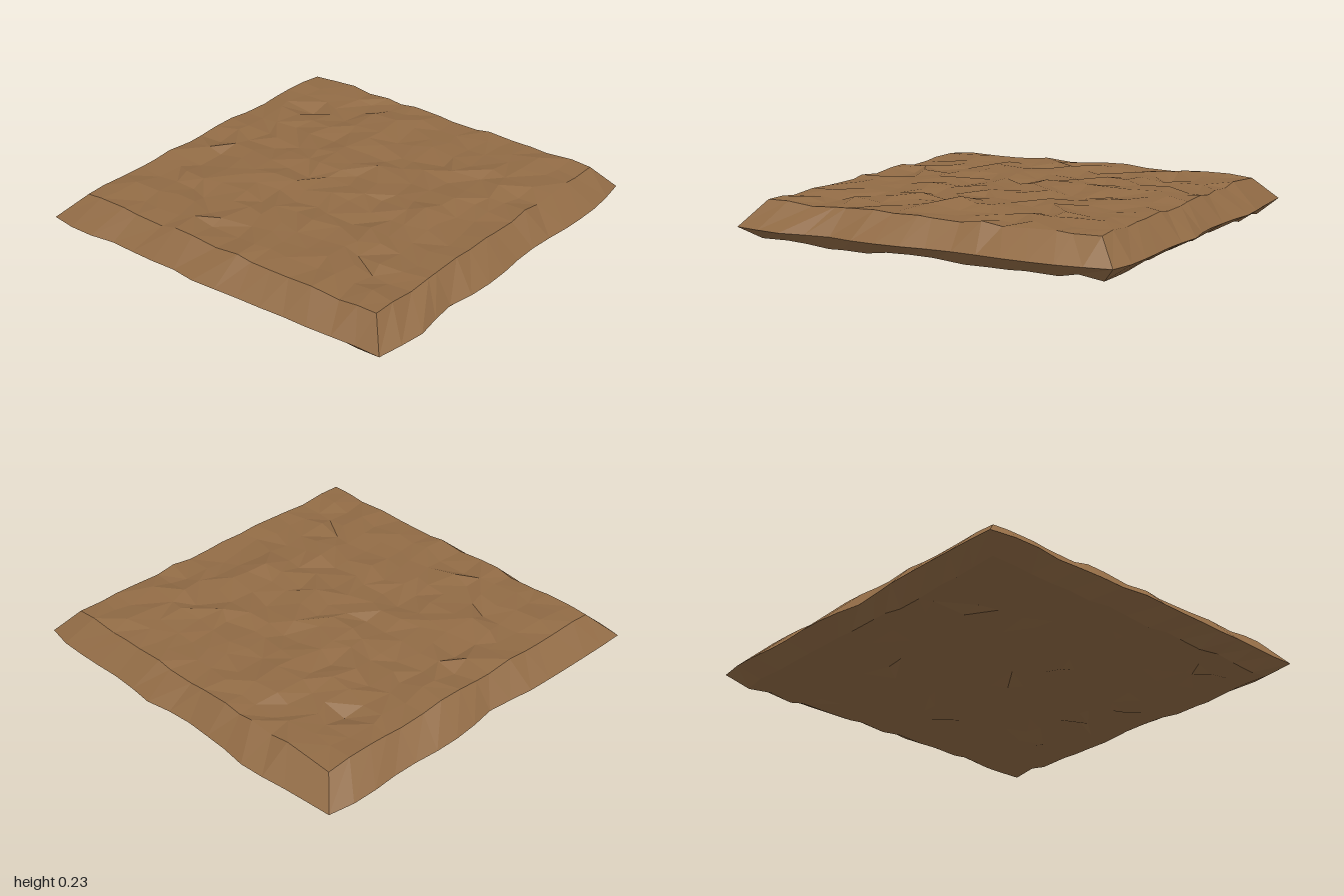
import * as THREE from 'three';

const N = 15; // cells along each side

// Ragged outline: [position along the side, distance out]
const EDGES = {
  back: [[-.96, -.95], [-.72, -.965], [-.49, -.99], [-.37, -.98], [-.27, -.955], [-.15, -.967], [-.03, -.95],
    [.25, -1], [.36, -.95], [.47, -.977], [.62, -.97], [.77, -.98], [.94, -.945]],
  front: [[-.97, .96], [-.78, .99], [-.53, .955], [-.38, .985], [-.27, .955], [-.15, .98], [-.03, .99],
    [.13, .97], [.24, .98], [.35, .965], [.62, .965], [.77, .95], [.94, .955]],
  left: [[-.95, -.96], [-.82, -.98], [-.7, -.98], [-.5, -.965], [-.35, -.98], [-.13, -.98], [.1, -.94],
    [.27, -.97], [.5, -.975], [.8, -.975], [.96, -.97]],
  right: [[-.945, .94], [-.8, .965], [-.65, .98], [-.38, .97], [-.25, .95], [-.05, .955], [.1, .97],
    [.28, .97], [.5, .93], [.66, .98], [.8, .965], [.955, .94]],
};

// Pits and lumps on the upper face: x, z, height
const LUMPS = [[-.62, -.53, -.035], [.55, -.25, .02], [.51, .03, .035], [-.31, .25, .02], [-.13, -.1, .015], [.12, .5, .015]];

function seeded(seed) {
  return () => {
    seed = (seed * 16807) % 2147483647;
    return seed / 2147483647;
  };
}

// Distance out at a fraction t along an outline
function along(points, t) {
  const s = THREE.MathUtils.lerp(points[0][0], points[points.length - 1][0], t);
  let k = 0;
  while (k < points.length - 2 && s > points[k + 1][0]) k++;
  const [a, b] = [points[k], points[k + 1]];
  return [s, THREE.MathUtils.mapLinear(s, a[0], b[0], a[1], b[1])];
}

// Rough square sheet of points, straight along its border
function sheet(half, y, amp, seed, lumps) {
  const rand = seeded(seed);
  const spread = (size) => (rand() - 0.5) * 2 * size;
  return Array.from({ length: N + 1 }, (_, i) => Array.from({ length: N + 1 }, (_, j) => {
    const x = (i / N * 2 - 1) * half - 0.005, z = (j / N * 2 - 1) * half;
    const insideX = i > 0 && i < N, insideZ = j > 0 && j < N;
    let h = y + spread(insideX && insideZ ? amp : amp * 0.7);
    for (const [lx, lz, lh] of lumps) {
      h += lh * Math.max(0, 1 - Math.hypot(x - lx, z - lz) / 0.13);
    }
    return new THREE.Vector3(x + (insideX ? spread(0.03) : 0), h, z + (insideZ ? spread(0.03) : 0));
  }));
}

// Points of a sheet in order round its border, starting at the front left corner seen from the front
function border(at) {
  const ring = [];
  for (let k = 0; k < N; k++) ring.push(at(k, N, 'front', k / N));
  for (let k = N; k > 0; k--) ring.push(at(N, k, 'right', k / N));
  for (let k = N; k > 0; k--) ring.push(at(k, 0, 'back', k / N));
  for (let k = 0; k < N; k++) ring.push(at(0, k, 'left', k / N));
  return ring;
}

function facetedMesh(name, triangles, material) {
  const geometry = new THREE.BufferGeometry().setFromPoints(triangles);
  geometry.computeVertexNormals();
  const mesh = new THREE.Mesh(geometry, material);
  mesh.name = name;
  return mesh;
}

function face(points, up, seed) {
  const rand = seeded(seed), tris = [];
  for (let i = 0; i < N; i++) {
    for (let j = 0; j < N; j++) {
      const a = points[i][j], b = points[i][j + 1], c = points[i + 1][j + 1], d = points[i + 1][j];
      const pair = rand() < 0.5 ? [a, b, c, a, c, d] : [a, b, d, b, c, d];
      tris.push(...(up ? pair : pair.reverse()));
    }
  }
  return tris;
}

function bevel(lower, upper) {
  const tris = [];
  lower.forEach((p, k) => {
    const n = (k + 1) % lower.length;
    tris.push(p, lower[n], upper[n], p, upper[n], upper[k]);
  });
  return tris;
}

export function createModel() {
  const earth = new THREE.MeshStandardMaterial({ color: 0x916b45, flatShading: true });
  earth.name = 'brown earth';

  const top = sheet(0.848, 0.215, 0.014, 4711, LUMPS);
  const bottom = sheet(0.87, 0.034, 0.016, 1931, [[.08, .3, -.012], [-.3, -.56, -.012], [.5, -.4, .02]]);

  // Widest line of the slab, between the two bevels
  const rim = border((i, j, side, t) => {
    const [s, out] = along(EDGES[side], t);
    return side === 'front' || side === 'back' ? new THREE.Vector3(s, 0.097, out) : new THREE.Vector3(out, 0.097, s);
  });

  const slab = new THREE.Group();
  slab.name = 'groundSlab';
  slab.add(
    facetedMesh('upperFace', face(top, true, 77), earth),
    facetedMesh('upperBevel', bevel(rim, border((i, j) => top[i][j])), earth),
    facetedMesh('lowerBevel', bevel(border((i, j) => bottom[i][j]), rim), earth),
    facetedMesh('underside', face(bottom, false, 99), earth),
  );
  return slab;
}
